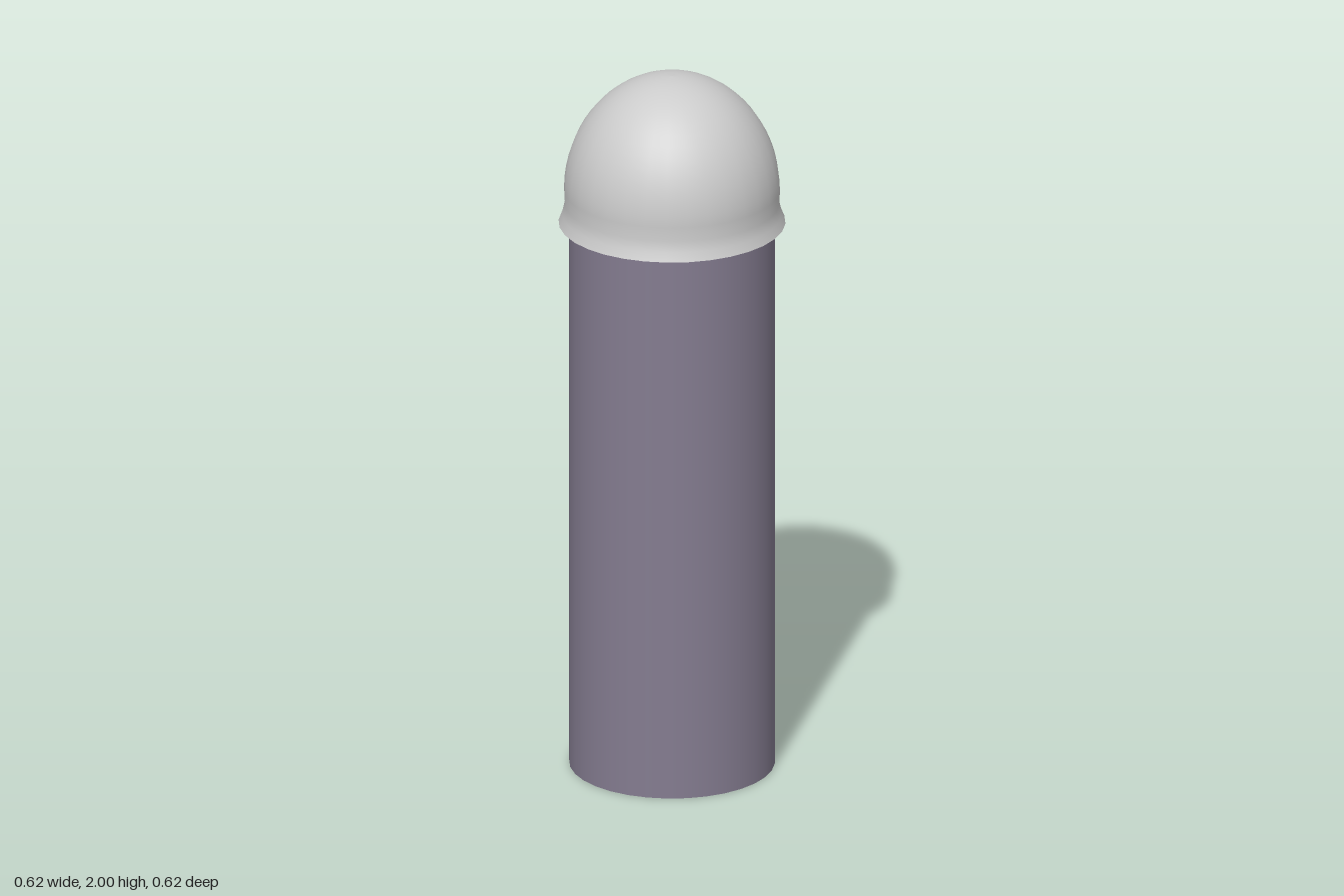
import * as THREE from 'three';

const SIDES = 32;

export function createModel() {
  const model = new THREE.Group();

  // open-ended tube, running up under the cap
  const bodyMaterial = new THREE.MeshStandardMaterial({ color: 0x847c90, side: THREE.DoubleSide });
  const body = new THREE.Mesh(new THREE.CylinderGeometry(0.28, 0.28, 1.6, SIDES, 1, true), bodyMaterial);
  body.name = 'body';
  body.position.y = 0.8;
  model.add(body);

  // hollow cap: flared lip, slight waist, then an elliptical dome
  const domeBase = 1.67, domeRadius = 0.294, domeHeight = 0.33, steps = 16;
  const profile = [
    new THREE.Vector2(0.309, 1.575),
    new THREE.Vector2(0.299, 1.6),
    new THREE.Vector2(0.292, 1.63),
  ];
  for (let i = 0; i <= steps; i++) {
    const a = (i / steps) * Math.PI / 2;
    const r = i === steps ? 0 : domeRadius * Math.cos(a);
    profile.push(new THREE.Vector2(r, domeBase + domeHeight * Math.sin(a)));
  }
  const capMaterial = new THREE.MeshStandardMaterial({ color: 0xcccccc, side: THREE.DoubleSide });
  const cap = new THREE.Mesh(new THREE.LatheGeometry(profile, SIDES), capMaterial);
  cap.name = 'domedCap';
  model.add(cap);

  return model;
}
